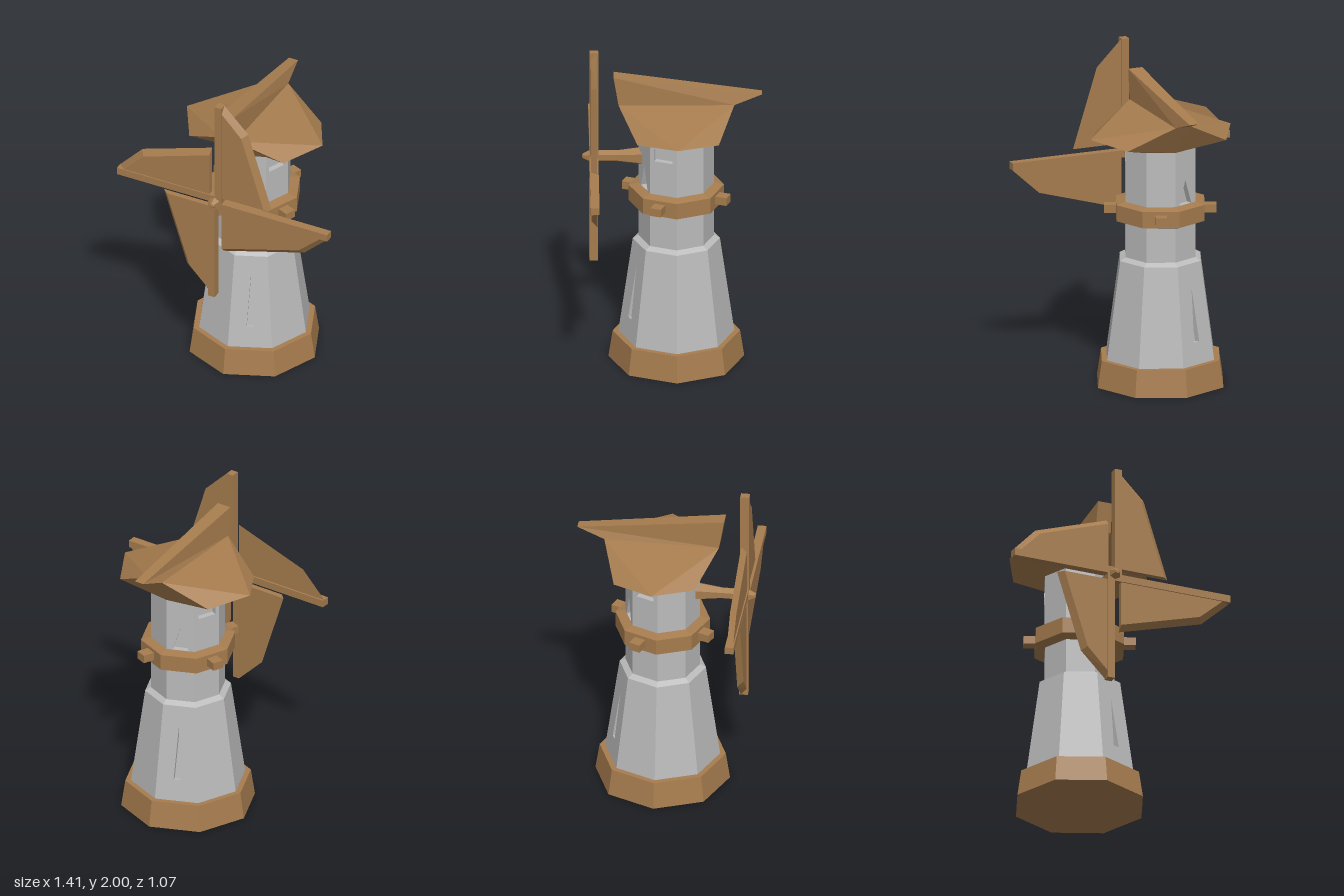
import * as THREE from 'three';

const wood = new THREE.MeshStandardMaterial({ color: 0xa67c4e, flatShading: true, side: THREE.DoubleSide });
wood.name = 'wood';
const stone = new THREE.MeshStandardMaterial({ color: 0xbbbbbb, flatShading: true });
stone.name = 'stone';

const CX = -0.05, CZ = -0.025; // tower axis
const STEP = Math.PI / 4;

function add(parent, name, geometry, material, x = 0, y = 0, z = 0) {
  const mesh = new THREE.Mesh(geometry, material);
  mesh.name = name;
  mesh.position.set(x, y, z);
  parent.add(mesh);
  return mesh;
}

// Flat-faced solid from convex polygons, each a list of [x, y, z] corners
function solid(polygons) {
  const out = [];
  for (const p of polygons) {
    for (let i = 1; i < p.length - 1; i++) out.push(...p[0], ...p[i], ...p[i + 1]);
  }
  const g = new THREE.BufferGeometry();
  g.setAttribute('position', new THREE.Float32BufferAttribute(out, 3));
  g.computeVertexNormals();
  return g;
}

// Eight-sided frustum standing on y0
function octagon(parent, name, r0, y0, r1, y1, material) {
  return add(parent, name, new THREE.CylinderGeometry(r1, r0, y1 - y0, 8), material, 0, (y0 + y1) / 2, 0);
}

const shape = pts => new THREE.Shape(pts.map(p => new THREE.Vector2(...p)));

// Eight thick wall panels, some with openings; holes are [x, y] with y from the panel foot
function walls(parent, name, r0, y0, r1, y1, holes) {
  const depth = 0.04, half = Math.sin(STEP / 2), apo = Math.cos(STEP / 2);
  const lean = Math.atan2((r0 - r1) * apo, y1 - y0);
  const len = (y1 - y0) / Math.cos(lean);
  for (let k = 0; k < 8; k++) {
    const s = shape([[-r0 * half, 0], [r0 * half, 0], [r1 * half, len], [-r1 * half, len]]);
    for (const h of holes[k % 4] || []) s.holes.push(shape(h));
    const g = new THREE.ExtrudeGeometry(s, { depth, bevelEnabled: false });
    g.translate(0, 0, -depth);
    g.rotateX(-lean);
    g.translate(0, y0, r0 * apo);
    g.rotateY((k + 0.5) * STEP);
    add(parent, name, g, stone);
  }
  octagon(parent, name + 'Core', r0 - 0.038, y0, r1 - 0.038, y1, stone);
}

function buildTower() {
  const tower = new THREE.Group();
  tower.name = 'tower';
  tower.position.set(CX, 0, CZ);

  octagon(tower, 'base', 0.405, 0, 0.38, 0.165, wood);
  walls(tower, 'lowerWall', 0.347, 0.155, 0.26, 0.77, {
    0: [[[-0.022, 0.145], [0.022, 0.145], [0, 0.48]]],
  });
  octagon(tower, 'ledge', 0.26, 0.77, 0.225, 0.79, stone);
  walls(tower, 'upperWall', 0.225, 0.785, 0.225, 1.48, {
    0: [[[-0.05, 0.35], [0.05, 0.35], [0, 0.5]]],
    1: [[[-0.06, 0.565], [0.06, 0.565], [0.06, 0.645], [-0.06, 0.645]]],
  });

  // Timber ring with four beam ends
  const ring = [[0.22, 1.0], [0.285, 1.02], [0.285, 1.12], [0.22, 1.135]].map(p => new THREE.Vector2(...p));
  add(tower, 'ring', new THREE.LatheGeometry(ring, 8), wood);
  for (let k = 1; k < 8; k += 2) {
    const peg = new THREE.BoxGeometry(0.07, 0.05, 0.1);
    peg.translate(0, 1.075, 0.285);
    peg.rotateY((k + 0.5) * STEP);
    add(tower, 'beamEnd', peg, wood);
  }
  return tower;
}

function buildRoof() {
  const roof = new THREE.Group();
  roof.name = 'roof';

  // Eave corners of the left half, front to back
  const eave = [[0, 1.66, 0.32], [0.265, 1.52, 0.21], [0.405, 1.545, -0.03], [0.27, 1.52, -0.275], [0, 1.66, -0.37]];
  const foot = eave.map((_, i) => [CX + 0.225 * Math.sin(i * STEP), 1.47, CZ + 0.225 * Math.cos(i * STEP)]);
  const [A, B, C, D, E] = eave;
  const half = [[A, B, C], [A, C, E], [C, D, E]];
  for (let i = 0; i < 4; i++) half.push([eave[i], foot[i], foot[i + 1]], [eave[i], foot[i + 1], eave[i + 1]]);
  const mirror = ([x, y, z]) => [2 * CX - x, y, z];
  const other = half.map(p => p.map(mirror).reverse());
  const gables = [[A, mirror(A), foot[0]], [E, foot[4], mirror(E)]];
  add(roof, 'slopes', solid([...half, ...other, ...gables]), wood);

  // Raised ridge, pointed at the tail
  const F = [-0.005, 1.84, 0.35], T = [-0.02, 1.72, -0.535];
  const [a, e, f, t] = [A, E, F, T].map(mirror);
  add(roof, 'ridge', solid([[F, A, E, T], [t, e, a, f], [F, T, t, f], [A, F, f, a], [T, E, e, t]]), wood);
  return roof;
}

function buildSails() {
  const sails = new THREE.Group();
  sails.name = 'sails';
  sails.position.set(CX, 1.31, 0);

  // Tapered axle and nose, drawn along z
  const axle = [[0.062, 0.14], [0.058, 0.17], [0.036, 0.33], [0.036, 0.44], [0.042, 0.47], [0.036, 0.495], [0.015, 0.535], [0, 0.537]];
  const g = new THREE.LatheGeometry(axle.map(p => new THREE.Vector2(...p)), 6);
  g.rotateX(Math.PI / 2);
  add(sails, 'axle', g, wood);

  // Sail panel: flat back, front outline drawn in along the outer edge
  const back = [[0.045, 0.04], [0.36, 0.04], [0.205, 0.53], [0.045, 0.69]].map(p => [...p, 0.452]);
  const front = [[0.045, 0.04], [0.325, 0.04], [0.175, 0.51], [0.045, 0.645]].map(p => [...p, 0.486]);
  const faces = [front, [...back].reverse()];
  for (let i = 0; i < 4; i++) {
    const j = (i + 1) % 4;
    faces.push([back[i], back[j], front[j], front[i]]);
  }
  const panel = solid(faces);
  const spar = new THREE.BoxGeometry(0.045, 0.69, 0.053);
  spar.translate(0.0225, 0.345, 0.467);

  [1, 1.094, 0.993, 0.949].forEach((length, k) => {
    const sail = new THREE.Group();
    sail.name = 'sail';
    sail.rotation.z = -k * Math.PI / 2;
    sail.scale.y = length;
    add(sail, 'spar', spar, wood);
    add(sail, 'panel', panel, wood);
    sails.add(sail);
  });
  return sails;
}

export function createModel() {
  const model = new THREE.Group();
  model.name = 'windmill';
  model.add(buildTower(), buildRoof(), buildSails());
  return model;
}
